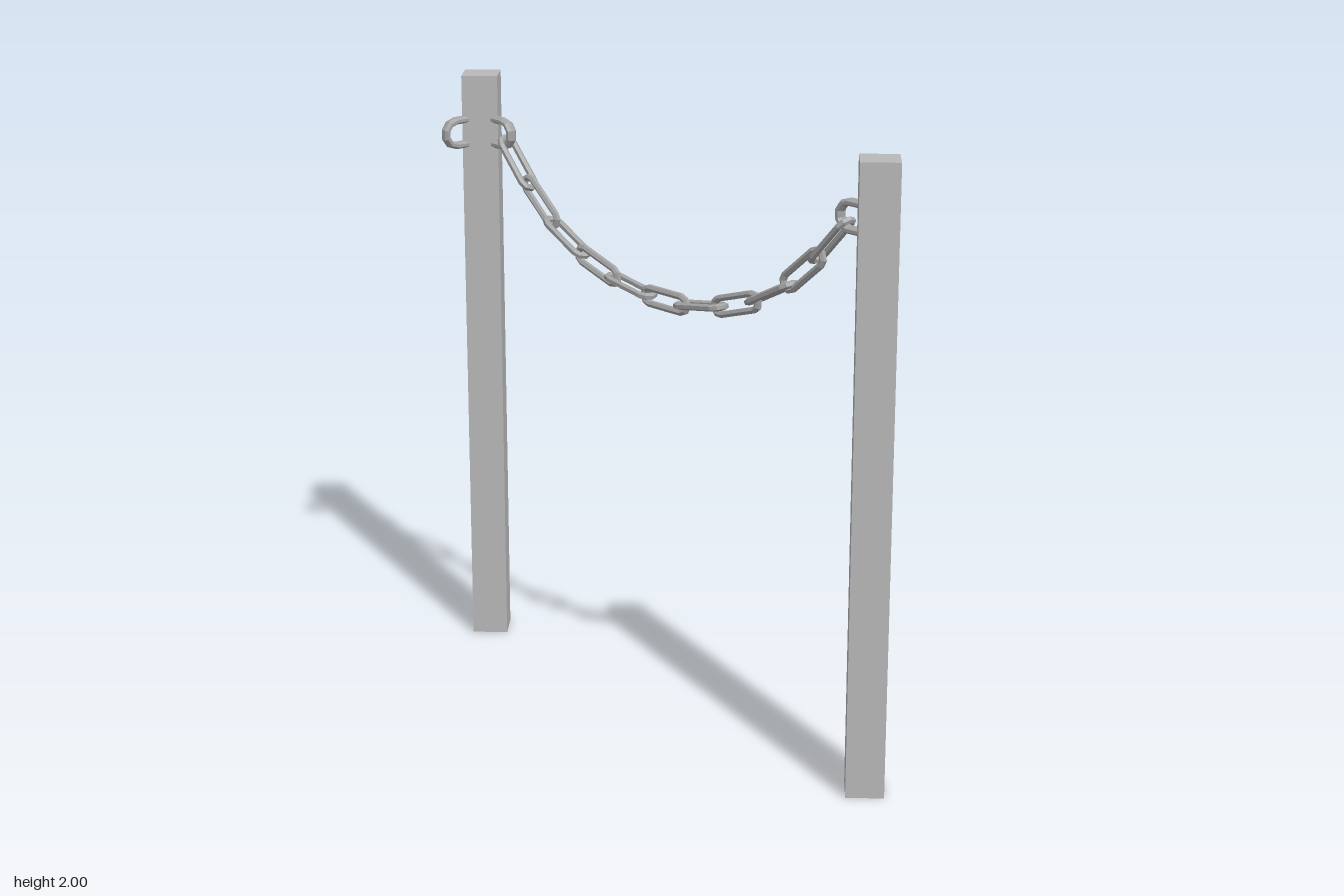
import * as THREE from 'three';

const AXIS_Z = -0.045;

// Faceted bar swept along a flat path; a = in-plane radius, b = radius across the plane
function sweep(pts, a, b, sides, closed) {
  const n = pts.length, pos = [], idx = [];
  const dir = (i, j) => pts[j].clone().sub(pts[i]).normalize();
  for (let i = 0; i < n; i++) {
    const prev = closed ? (i + n - 1) % n : Math.max(i - 1, 0);
    const next = closed ? (i + 1) % n : Math.min(i + 1, n - 1);
    const d0 = prev === i ? dir(i, next) : dir(prev, i);
    const d1 = next === i ? d0 : dir(i, next);
    const t = d0.clone().add(d1).normalize();
    const miter = a / t.dot(d0);
    for (let j = 0; j < sides; j++) {
      const f = ((j + 0.5) / sides) * Math.PI * 2;
      const r = Math.cos(f) * miter;
      pos.push(pts[i].x + t.y * r, pts[i].y - t.x * r, Math.sin(f) * b);
    }
  }
  for (let i = 0; i < (closed ? n : n - 1); i++) {
    for (let j = 0; j < sides; j++) {
      const k = (i + 1) % n, l = (j + 1) % sides;
      const A = i * sides + j, B = k * sides + j, C = k * sides + l, D = i * sides + l;
      idx.push(A, B, C, A, C, D);
    }
  }
  const g = new THREE.BufferGeometry();
  g.setAttribute('position', new THREE.Float32BufferAttribute(pos, 3));
  g.setIndex(idx);
  return faceted(g);
}

function faceted(g) {
  const flat = g.toNonIndexed();
  flat.computeVertexNormals();
  return flat;
}

// Points of a half turn around (cx, 0), starting at angle from
function halfTurn(cx, r, from, steps) {
  return Array.from({ length: steps + 1 }, (_, i) => {
    const f = from + (i / steps) * Math.PI;
    return new THREE.Vector2(cx + r * Math.cos(f), r * Math.sin(f));
  });
}

export function createModel() {
  const model = new THREE.Group();
  model.name = 'chainBarrier';
  const postGrey = new THREE.MeshStandardMaterial({ color: 0xb8b8b8 });
  postGrey.name = 'post grey';
  const chainGrey = new THREE.MeshStandardMaterial({ color: 0xa4a4a4 });
  chainGrey.name = 'chain grey';

  const add = (name, geo, mat, x, y) => {
    const m = new THREE.Mesh(geo, mat);
    m.name = name;
    m.position.set(x, y, AXIS_Z);
    model.add(m);
    return m;
  };

  // Square posts standing corner-on
  const postGeo = faceted(new THREE.CylinderGeometry(0.085, 0.085, 2, 4));
  add('rightPost', postGeo, postGrey, -0.915, 1);
  add('leftPost', postGeo, postGrey, 0.915, 1);

  // Staple-shaped eyes sunk into the posts
  const eyePath = [
    new THREE.Vector2(0.05, -0.042),
    ...halfTurn(0.114, 0.042, -Math.PI / 2, 5),
    new THREE.Vector2(0.05, 0.042),
  ];
  const eyeGeo = sweep(eyePath, 0.0125, 0.019, 8, false);
  add('rightPostEye', eyeGeo, chainGrey, -0.915, 1.81);
  add('leftPostEye', eyeGeo, chainGrey, 0.915, 1.81).rotation.y = Math.PI;
  add('spareFrontEye', eyeGeo, chainGrey, -0.915, 1.81).rotation.y = -Math.PI / 2;

  // Hanging chain, links alternating upright and lying
  const linkGeo = sweep(
    [...halfTurn(0.075, 0.026, -Math.PI / 2, 4), ...halfTurn(-0.075, 0.026, Math.PI / 2, 4)],
    0.0115, 0.0115, 6, true);
  const links = [ // x, y, slope in degrees
    [0, 1.393, 0], [0.165, 1.408, 9], [0.325, 1.445, 17],
    [0.478, 1.512, 27], [0.611, 1.609, 40], [0.728, 1.722, 47],
  ];
  links.forEach(([x, y, deg], i) => {
    for (const s of i ? [1, -1] : [1]) {
      const link = add('chainLink', linkGeo, chainGrey, s * x, y);
      link.rotation.set(i % 2 ? Math.PI / 2 : 0, 0, s * THREE.MathUtils.degToRad(deg), 'ZYX');
    }
  });

  return model;
}
